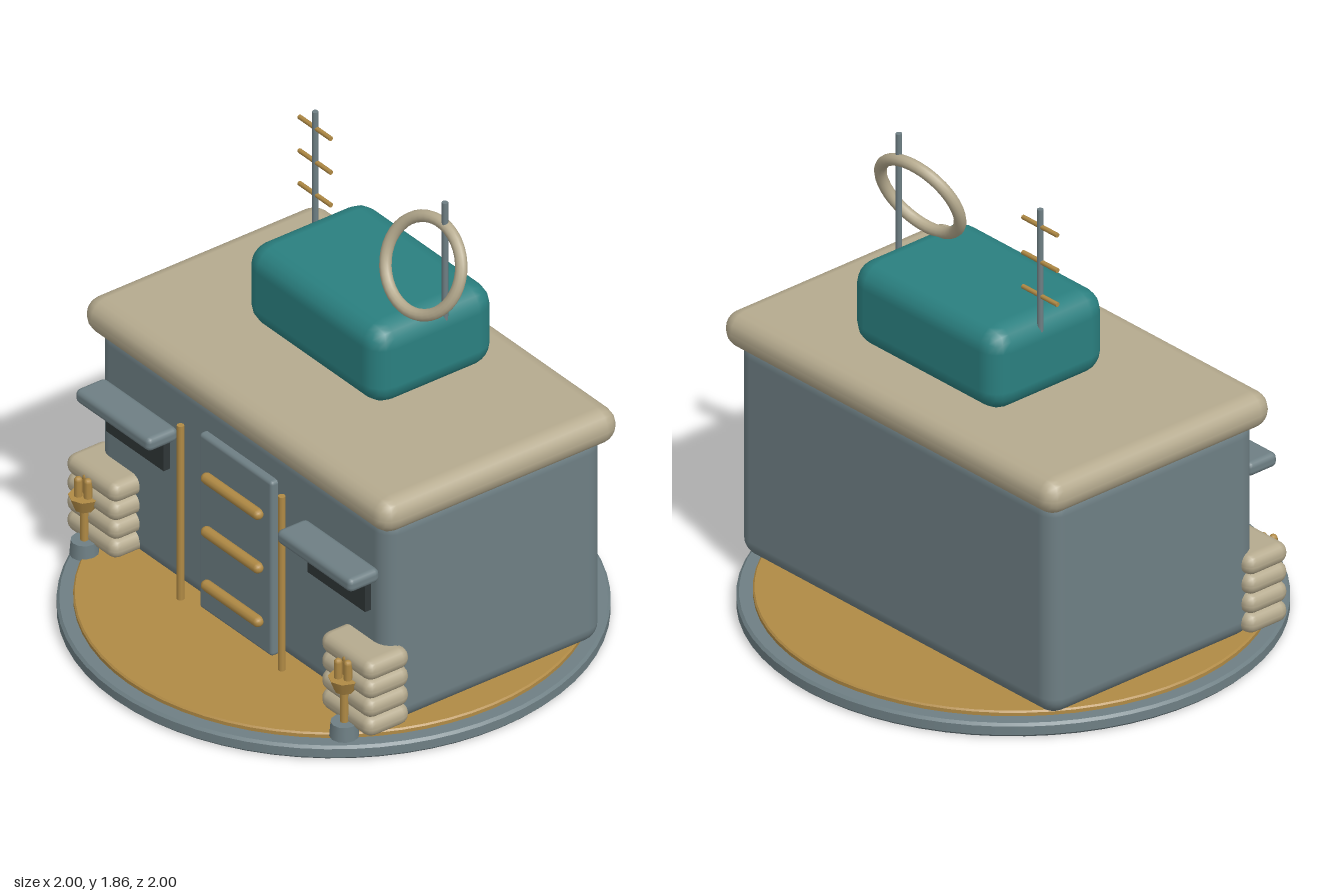
import * as THREE from 'three';
import { RoundedBoxGeometry } from 'three/addons/geometries/RoundedBoxGeometry.js';

const material = (name, color) => {
  const m = new THREE.MeshStandardMaterial({ color });
  m.name = name;
  return m;
};

export function createModel() {
  const slate = material('slate', 0x6e7f84);
  const sand = material('sand', 0xb5aa8e);
  const ochre = material('ochre', 0xb08a45);
  const teal = material('teal', 0x2a8080);
  const dark = material('darkGlass', 0x2f3637);

  const model = new THREE.Group();
  model.name = 'outpost';

  const add = (name, geometry, mat, x, y, z, parent = model) => {
    const mesh = new THREE.Mesh(geometry, mat);
    mesh.name = name;
    mesh.position.set(x, y, z);
    parent.add(mesh);
    return mesh;
  };
  const rounded = (w, h, d, r, segments = 2) => new RoundedBoxGeometry(w, h, d, segments, r);
  const rod = (r, length, sides = 10) => new THREE.CylinderGeometry(r, r, length, sides);

  // Round base plate with a bevelled rim, and the ground disc on it
  const disc = (radius, y0, y1, bevel) => new THREE.LatheGeometry([
    [0, y0], [radius - bevel, y0], [radius - bevel, y0], [radius, y0 + bevel], [radius, y0 + bevel],
    [radius, y1 - bevel], [radius, y1 - bevel], [radius - bevel, y1], [radius - bevel, y1], [0, y1],
  ].map(([x, y]) => new THREE.Vector2(x, y)), 64);
  add('basePlate', disc(1, 0, 0.055, 0.01), slate, 0, 0, 0);
  add('groundDisc', disc(0.94, 0.03, 0.075, 0.006), ochre, 0, 0, 0);

  // Main block, roof slab and roof housing
  add('body', rounded(1.71, 0.9, 1.0, 0.075, 3), slate, 0, 0.525, -0.08);
  add('roof', rounded(1.8, 0.145, 1.09, 0.07), sand, 0, 1.0, -0.08);
  add('roofHousing', rounded(0.8, 0.34, 0.56, 0.09), teal, 0, 1.25, -0.168);

  // Door with three horizontal grips
  add('door', rounded(0.43, 0.75, 0.05, 0.015), slate, 0, 0.455, 0.425);
  for (const y of [0.21, 0.44, 0.67]) {
    const grip = add('doorGrip', new THREE.CapsuleGeometry(0.022, 0.3, 4, 10), ochre, 0, y, 0.463);
    grip.rotation.z = Math.PI / 2;
  }

  // Parts mirrored on both sides of the door
  for (const side of [-1, 1]) {
    add('doorPost', rod(0.014, 0.745), ochre, side * 0.298, 0.4525, 0.468);
    add('window', new THREE.BoxGeometry(0.34, 0.12, 0.04), dark, side * 0.593, 0.615, 0.428);
    add('awning', rounded(0.44, 0.058, 0.14, 0.022), slate, side * 0.593, 0.725, 0.485);

    // Sandbag stack
    const bags = new THREE.Group();
    bags.name = 'sandbags';
    model.add(bags);
    for (let i = 0; i < 4; i++) {
      add('sandbag', rounded(0.3, 0.085, 0.2, 0.04), sand, side * 0.75, 0.144 + i * 0.08, 0.438, bags);
    }

    // Torch: foot, pole, bowl and flames
    const torch = new THREE.Group();
    torch.name = 'torch';
    torch.position.set(side * 0.765, 0, 0.545);
    model.add(torch);
    add('torchFoot', new THREE.CylinderGeometry(0.05, 0.055, 0.06, 12), slate, 0, 0.098, 0, torch);
    add('torchPole', rod(0.016, 0.16), ochre, 0, 0.2, 0, torch);
    add('torchBowl', new THREE.CylinderGeometry(0.06, 0.038, 0.055, 8), ochre, 0, 0.29, 0, torch);
    for (let i = 0; i < 3; i++) {
      const a = i * Math.PI * 2 / 3;
      add('torchFlame', new THREE.CapsuleGeometry(0.016, 0.08, 4, 8), ochre,
        Math.cos(a) * 0.022, 0.343, Math.sin(a) * 0.022, torch);
    }

    add('mast', rod(0.012, 0.52), slate, side * 0.382, 1.6, -0.212);
  }

  // Aerial crossbars on the right mast
  for (const y of [1.505, 1.645, 1.79]) {
    const bar = add('crossbar', rod(0.009, 0.188, 8), ochre, -0.382, y, -0.212);
    bar.rotation.z = Math.PI / 2;
  }

  // Tilted ring aerial on the left mast
  const ring = add('ringAerial', new THREE.TorusGeometry(0.18, 0.023, 12, 40), sand, 0.341, 1.594, -0.145);
  ring.rotation.set(-0.4, 0.12, 0);

  return model;
}
